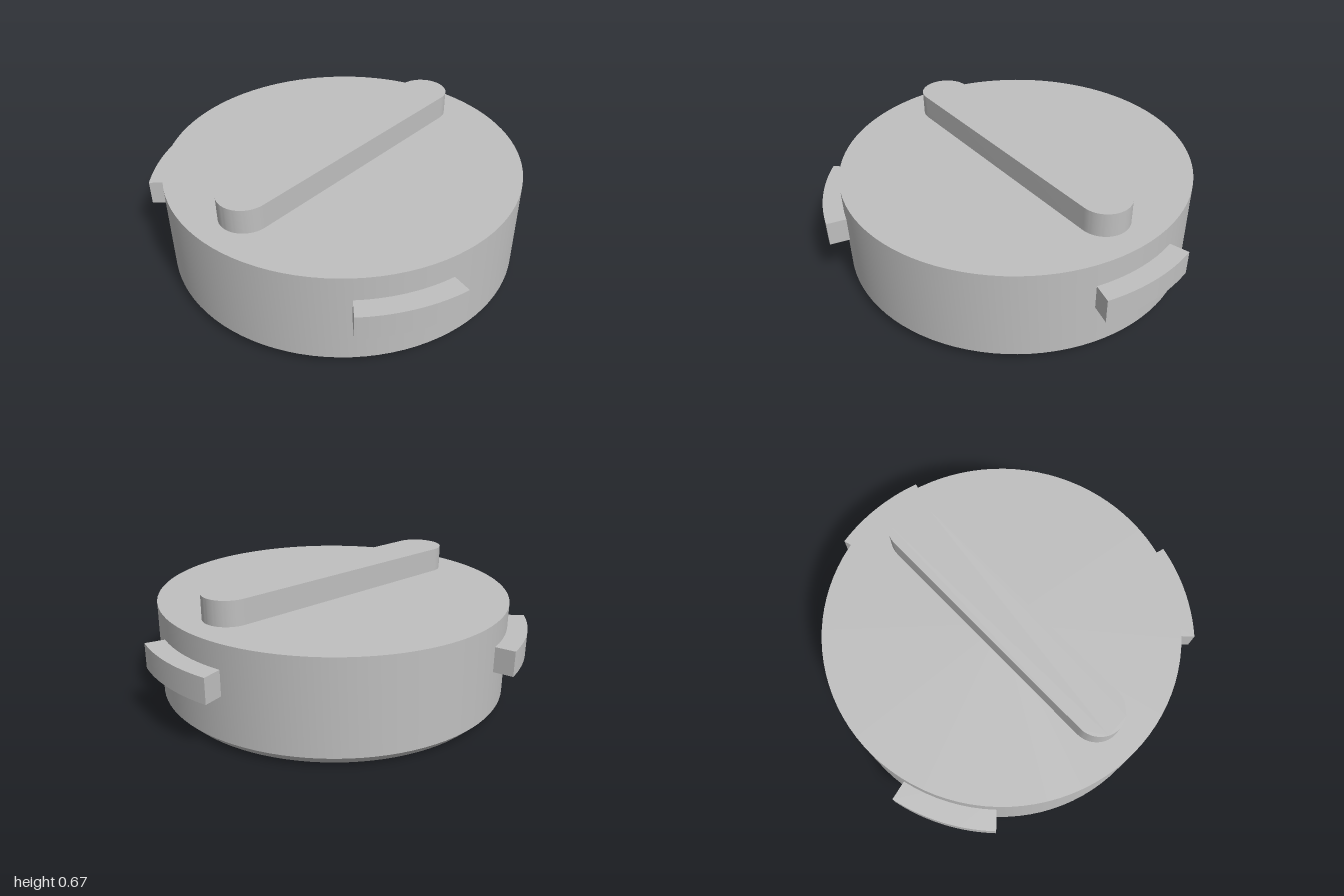
import * as THREE from 'three';
import { toCreasedNormals } from 'three/addons/utils/BufferGeometryUtils.js';

const grey = new THREE.MeshStandardMaterial({ color: 0xbfbfbf });
grey.name = 'grey';

function part(name, geometry, y = 0) {
  const mesh = new THREE.Mesh(toCreasedNormals(geometry, 0.5), grey);
  mesh.name = name;
  mesh.position.y = y;
  return mesh;
}

// Extrude a plan outline upwards (shape y points to the back)
function slab(shape, height) {
  return new THREE.ExtrudeGeometry(shape, { depth: height, bevelEnabled: false, curveSegments: 24 })
    .rotateX(-Math.PI / 2);
}

export function createModel() {
  const group = new THREE.Group();
  group.name = 'cap';
  const cap = new THREE.Group();
  cap.name = 'capAssembly';
  cap.position.z = 0.05;
  group.add(cap);

  // Hollow cap body with a chamfered lower rim
  const profile = [
    [0, 0.27], [0.848, 0.27], [0.848, 0], [0.882, 0],
    [0.932, 0.05], [0.932, 0.542], [0, 0.542],
  ].map(([x, y]) => new THREE.Vector2(x, y));
  cap.add(part('body', new THREE.LatheGeometry(profile, 96)));

  // Grip bar with rounded ends
  const r = 0.132, end = 0.808 - r;
  const bar = new THREE.Shape();
  bar.absarc(0, end, r, 0, Math.PI);
  bar.absarc(0, -end, r, Math.PI, 2 * Math.PI);
  bar.closePath();
  cap.add(part('gripBar', slab(bar, 0.14), 0.532));

  // Three curved locking tabs, evenly spaced
  const names = ['backTab', 'rightTab', 'leftTab'];
  const half = Math.PI / 12;
  names.forEach((name, i) => {
    const mid = Math.PI / 2 + i * 2 * Math.PI / 3;
    const tab = new THREE.Shape();
    tab.absarc(0, 0, 1.034, mid - half, mid + half, false);
    tab.absarc(0, 0, 0.9, mid + half, mid - half, true);
    tab.closePath();
    cap.add(part(name, slab(tab, 0.132), 0.282));
  });

  return group;
}
